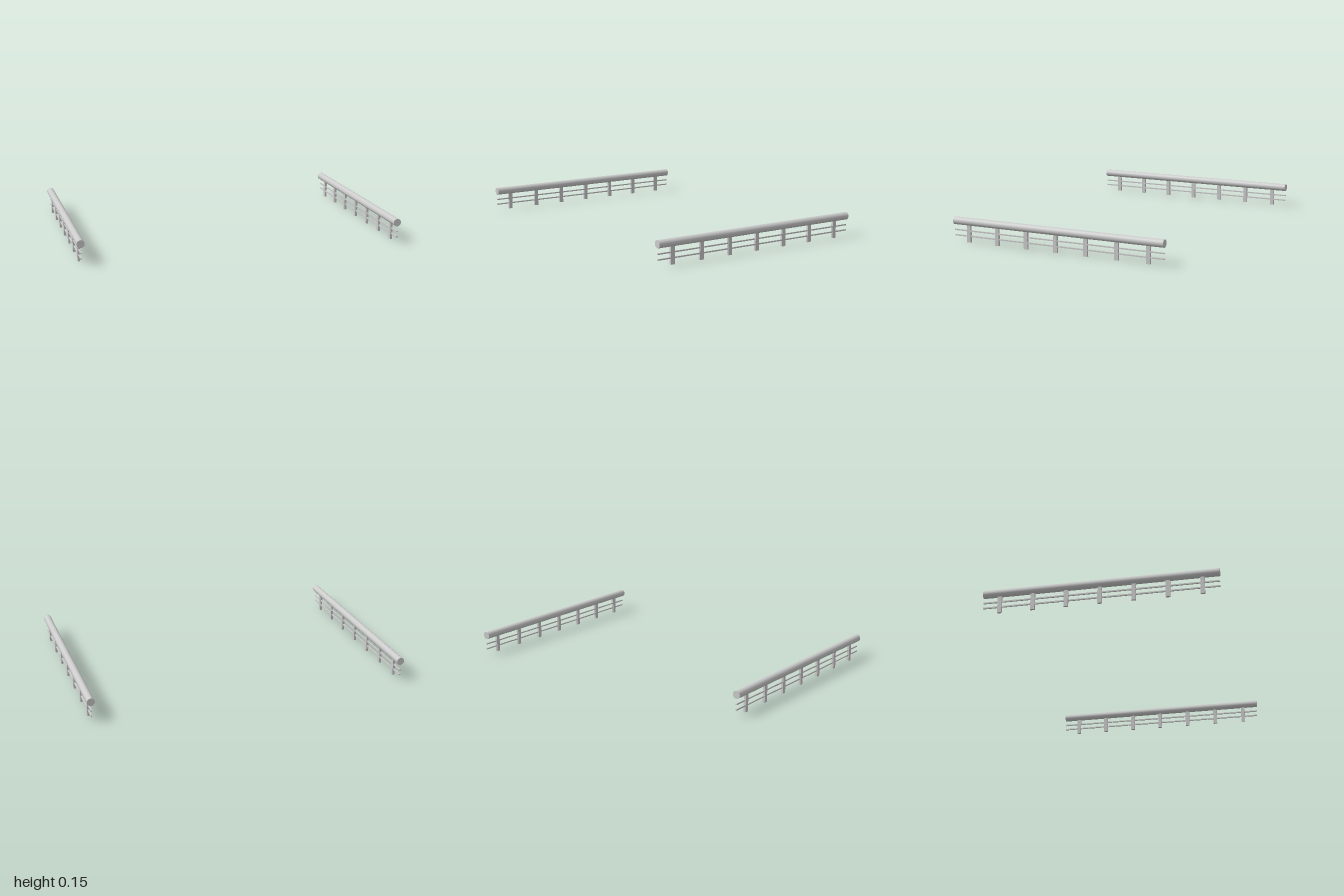
import * as THREE from 'three';

const material = new THREE.MeshStandardMaterial({ color: 0xcccccc });
const LENGTH = 1.4;

function add(parent, name, geometry, x, y, z) {
  const mesh = new THREE.Mesh(geometry, material);
  mesh.name = name;
  mesh.position.set(x, y, z);
  parent.add(mesh);
  return mesh;
}

// One railing running along z
function createRailing(name) {
  const railing = new THREE.Group();
  railing.name = name;

  // Thick round handrail
  const handrail = new THREE.CylinderGeometry(0.0235, 0.0235, LENGTH, 32).rotateX(Math.PI / 2);
  add(railing, 'handrail', handrail, 0, 0.127, 0);

  // Flat posts, reaching slightly into the handrail
  const post = new THREE.BoxGeometry(0.014, 0.112, 0.025);
  for (let i = -3; i <= 3; i++) add(railing, 'post', post, 0, 0.056, i * 0.2);

  // Two thin bars through the posts
  const bar = new THREE.BoxGeometry(0.008, 0.008, LENGTH);
  for (const y of [0.038, 0.071]) add(railing, 'bar', bar, 0, y, 0);

  return railing;
}

export function createModel() {
  const model = new THREE.Group();
  model.name = 'railings';
  for (const side of [-1, 1]) {
    const railing = createRailing(side > 0 ? 'leftRailing' : 'rightRailing');
    railing.position.x = side * 0.9765;
    model.add(railing);
  }
  return model;
}
